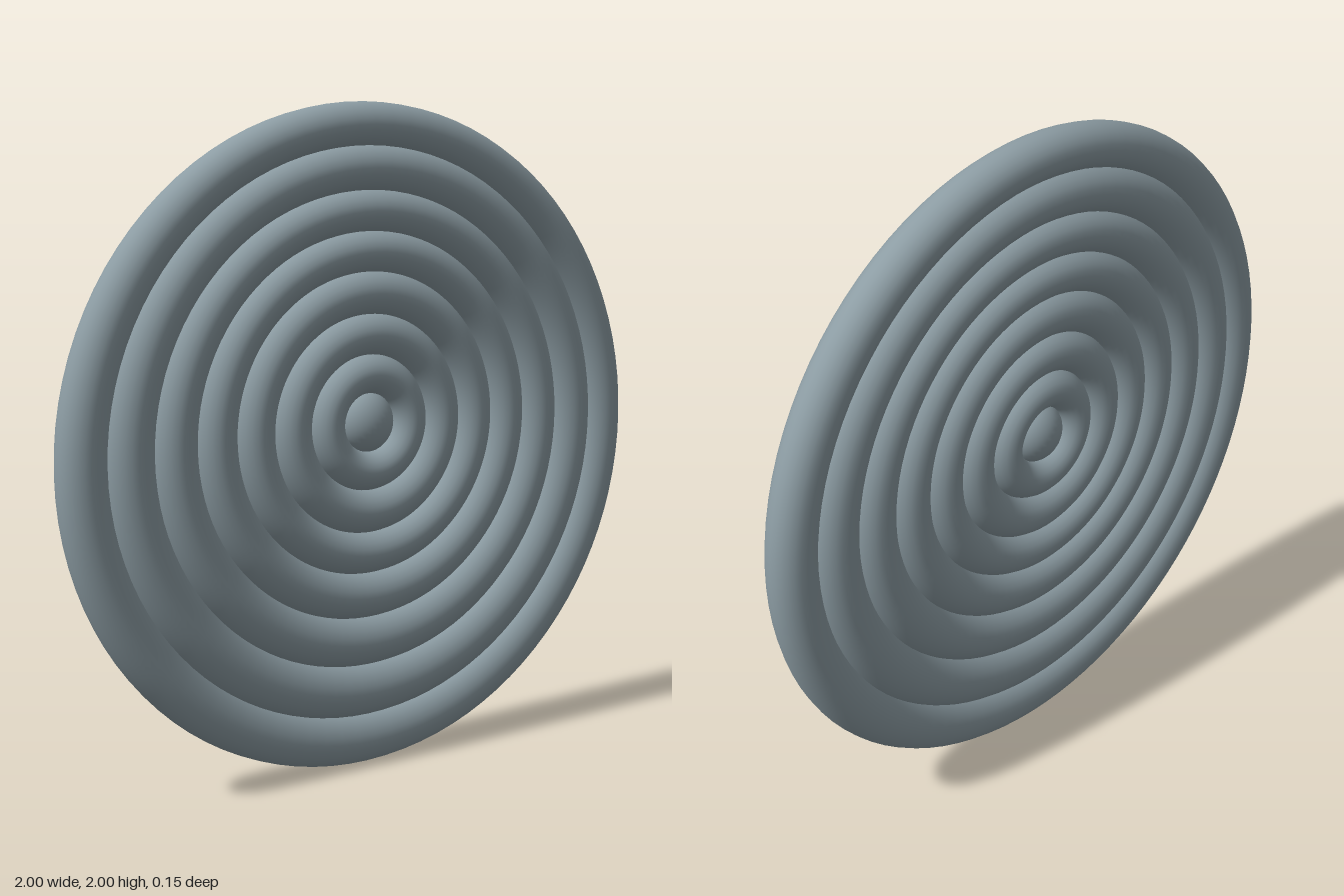
import * as THREE from 'three';

// Boundaries between neighbouring rings, outermost first: [radius, centre height]
const BOUNDS = [
  [1.0, 1.0], [0.865, 1.015], [0.722, 1.03], [0.588, 1.045],
  [0.46, 1.055], [0.335, 1.055], [0.21, 1.06], [0.095, 1.06],
];
const AROUND = 96, SIDES = 24;

// Closed rounded roll filling the space between two off-centre circles
function rollGeometry([ro, yo], [ri, yi], halfDepth, overlap) {
  const positions = [], indices = [];
  for (let i = 0; i <= AROUND; i++) {
    const a = (i / AROUND) * Math.PI * 2, ca = Math.cos(a), sa = Math.sin(a);
    for (let j = 0; j <= SIDES; j++) {
      const b = (j / SIDES) * Math.PI * 2;
      const t = (1 + Math.cos(b)) / 2;
      const r = THREE.MathUtils.lerp(ri - overlap, ro, t);
      const cy = THREE.MathUtils.lerp(yi, yo, t);
      positions.push(r * ca, cy + r * sa, halfDepth * Math.sin(b));
    }
  }
  const row = SIDES + 1;
  for (let i = 0; i < AROUND; i++) {
    for (let j = 0; j < SIDES; j++) {
      const p = i * row + j, q = p + row;
      indices.push(p, q, p + 1, q, q + 1, p + 1);
    }
  }
  const geometry = new THREE.BufferGeometry();
  geometry.setAttribute('position', new THREE.Float32BufferAttribute(positions, 3));
  geometry.setIndex(indices);
  geometry.computeVertexNormals();
  // Weld the shading normals across both seams
  const n = geometry.attributes.normal;
  const weld = (p, q) => {
    const v = new THREE.Vector3().fromBufferAttribute(n, p)
      .add(new THREE.Vector3().fromBufferAttribute(n, q)).normalize();
    n.setXYZ(p, v.x, v.y, v.z);
    n.setXYZ(q, v.x, v.y, v.z);
  };
  for (let i = 0; i <= AROUND; i++) weld(i * row, i * row + SIDES);
  for (let j = 0; j <= SIDES; j++) weld(j, AROUND * row + j);
  return geometry;
}

export function createModel() {
  const group = new THREE.Group();
  group.name = 'coiledDisc';
  const slate = new THREE.MeshStandardMaterial({ color: 0x8c9ca3 });
  slate.name = 'slateGrey';

  // Concentric rolls, the outermost slightly thinner
  for (let k = 0; k < BOUNDS.length - 1; k++) {
    const ring = new THREE.Mesh(
      rollGeometry(BOUNDS[k], BOUNDS[k + 1], k === 0 ? 0.068 : 0.075, 0.012), slate);
    ring.name = `ring${k + 1}`;
    group.add(ring);
  }

  // Centre bead
  const [beadRadius, beadY] = BOUNDS[BOUNDS.length - 1];
  const bead = new THREE.Mesh(new THREE.SphereGeometry(beadRadius, 32, 20), slate);
  bead.name = 'centreBead';
  bead.scale.z = 0.8;
  bead.position.y = beadY;
  group.add(bead);

  return group;
}
